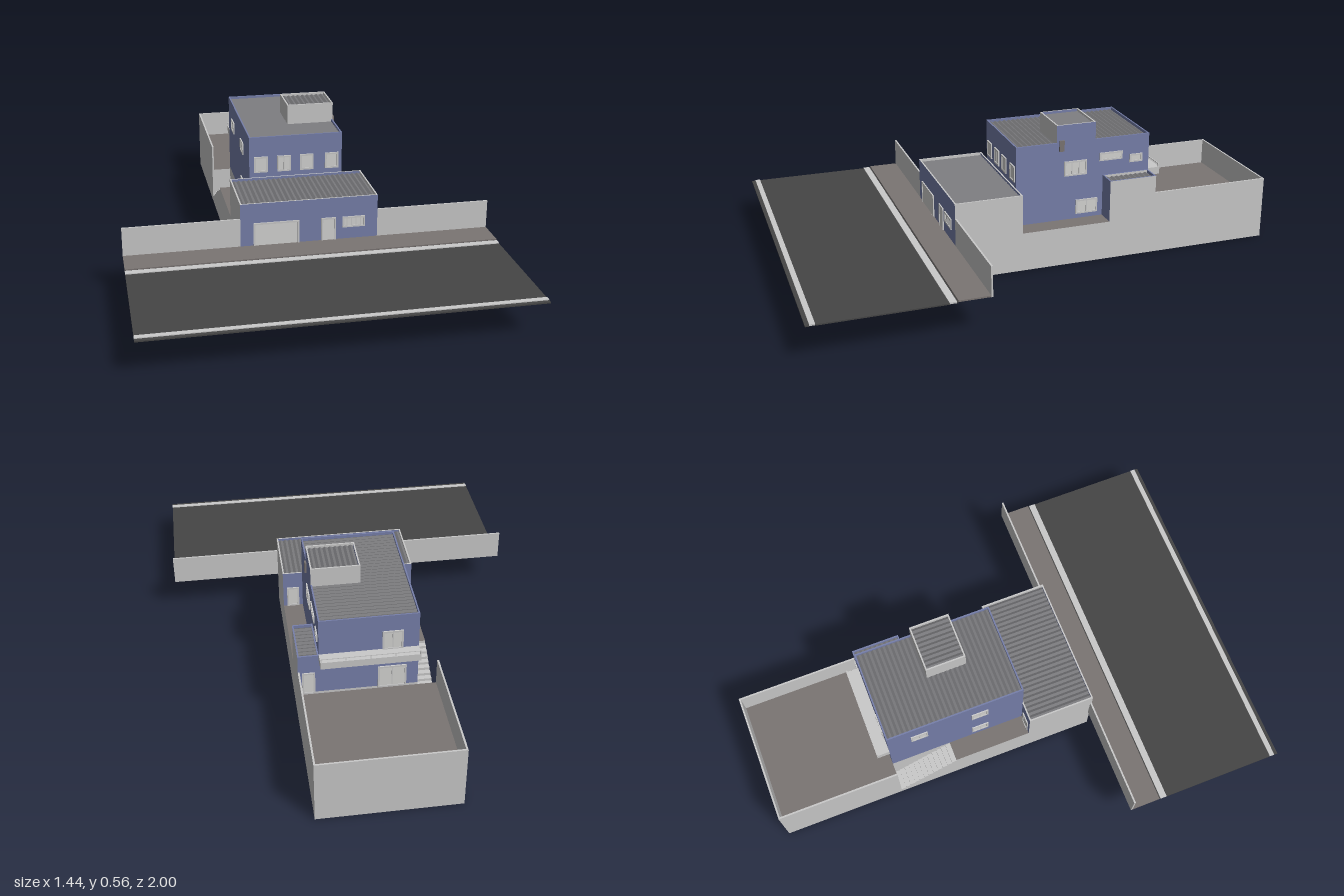
import * as THREE from 'three';

const mat = (name, color, side = THREE.FrontSide) => {
  const m = new THREE.MeshStandardMaterial({ color, side });
  m.name = name;
  return m;
};

export function createModel() {
  const root = new THREE.Group();
  const grey = mat('lightConcrete', 0xcacaca);
  const blue = mat('bluePaint', 0x7780ab);
  const brown = mat('brownPaving', 0x7b7573);
  const asphalt = mat('asphalt', 0x454545);
  const tile = mat('roofSheet', 0x77777a, THREE.DoubleSide);
  const glass = mat('paleGlass', 0xd6d6d4);

  // Box given by its limits; m is one material or [+x, -x, +y, -y, +z, -z]
  const box = (name, x0, x1, y0, y1, z0, z1, m, parent = root) => {
    const mesh = new THREE.Mesh(new THREE.BoxGeometry(x1 - x0, y1 - y0, z1 - z0), m);
    mesh.position.set((x0 + x1) / 2, (y0 + y1) / 2, (z0 + z1) / 2);
    mesh.name = name;
    parent.add(mesh);
    return mesh;
  };

  // Corrugated sheet with ridges running along x or z
  const sheet = (name, x0, x1, z0, z1, y, along) => {
    const w = x1 - x0, d = z1 - z0;
    const n = 2 * Math.round((along === 'x' ? d : w) / 0.02);
    let g = new THREE.PlaneGeometry(w, d, along === 'z' ? n : 1, along === 'x' ? n : 1).rotateX(-Math.PI / 2);
    const p = g.attributes.position;
    for (let i = 0; i < p.count; i++) {
      const t = along === 'x' ? (p.getZ(i) + d / 2) / d : (p.getX(i) + w / 2) / w;
      p.setY(i, Math.round(t * n) % 2 ? 0.005 : 0);
    }
    g = g.toNonIndexed();
    g.computeVertexNormals();
    const mesh = new THREE.Mesh(g, tile);
    mesh.position.set((x0 + x1) / 2, y, (z0 + z1) / 2);
    mesh.name = name;
    root.add(mesh);
  };

  // Building block: solid body, thin parapet round the top, sunken corrugated roof
  const block = (name, x0, x1, y0, y1, z0, z1, m, along) => {
    const g = new THREE.Group();
    g.name = name;
    root.add(g);
    const r = y1 - 0.016, t = 0.006;
    box(name + 'Walls', x0, x1, y0, r, z0, z1, m, g);
    box('parapetFront', x0, x1, r, y1, z1 - t, z1, m, g);
    box('parapetBack', x0, x1, r, y1, z0, z0 + t, m, g);
    box('parapetLeft', x1 - t, x1, r, y1, z0 + t, z1 - t, m, g);
    box('parapetRight', x0, x0 + t, r, y1, z0 + t, z1 - t, m, g);
    sheet(name + 'Roof', x0 + t, x1 - t, z0 + t, z1 - t, r + 0.004, along);
  };

  // Plot: paved ground, with a stairwell left open on one side
  const ground = [grey, grey, brown, grey, grey, grey];
  box('yardGround', -0.27, 0.27, 0, 0.15, -1, -0.5, ground);
  box('houseGround', -0.19, 0.27, 0, 0.16, -0.5, -0.25, ground);
  box('patioGround', -0.27, 0.27, 0, 0.16, -0.25, 0.07, ground);
  box('frontGround', -0.27, 0.27, 0, 0.14, 0.07, 0.345, ground);

  // Side stairs
  const steps = 12;
  for (let i = 0; i < steps; i++) {
    const z = -0.5 + (0.25 * i) / steps;
    box('stairStep', -0.27, -0.19, 0, 0.03 + (0.13 * i) / steps, z, z + 0.25 / steps, grey);
  }

  // Yard walls
  box('yardBackWall', -0.27, 0.27, 0.15, 0.26, -1, -0.993, grey);
  for (const s of [-1, 1]) {
    box('yardSideWall', s * 0.2665 - 0.0035, s * 0.2665 + 0.0035, 0.15, 0.26, -0.993, -0.5, grey);
    // Street walls either side of the house
    const a = s * 0.27, b = s * 0.72;
    box('streetWall', Math.min(a, b), Math.max(a, b), 0.14, 0.26, 0.338, 0.345, grey);
  }

  // Street
  box('sidewalk', -0.72, 0.72, 0.141, 0.147, 0.345, 0.465, brown);
  box('kerb', -0.72, 0.72, 0.138, 0.144, 0.47, 0.497, grey);
  box('gutter', -0.72, 0.72, 0.137, 0.142, 0.465, 0.47, asphalt);
  box('road', -0.72, 0.72, 0.136, 0.141, 0.497, 0.965, asphalt);
  box('farKerb', -0.72, 0.72, 0.138, 0.144, 0.965, 0.985, grey);
  box('farEdge', -0.72, 0.72, 0.136, 0.141, 0.985, 1, asphalt);

  // House volumes
  block('frontBlock', -0.27, 0.27, 0.14, 0.32, 0.07, 0.345, [grey, grey, grey, grey, blue, blue], 'z');
  block('mainHouse', -0.19, 0.19, 0.16, 0.49, -0.5, 0.07, blue, 'x');
  block('sideAnnex', 0.19, 0.27, 0.16, 0.333, -0.5, -0.3, [grey, blue, blue, blue, blue, blue], 'x');
  block('roofTower', -0.002, 0.19, 0.474, 0.562, -0.265, -0.1, [blue, grey, grey, grey, grey, grey], 'z');

  // Opening plate with raised frame and mullions; ry turns it to face its wall
  const opening = (name, x, y, z, w, h, ry, bars = 0, frame = 0.007) => {
    const g = new THREE.Group();
    g.name = name;
    g.position.set(x, y, z);
    g.rotation.y = ry;
    root.add(g);
    box('pane', -w / 2, w / 2, -h / 2, h / 2, -0.001, 0.002, glass, g);
    for (const s of [-1, 1]) {
      const cx = s * (w - frame) / 2, cy = s * (h - frame) / 2;
      box('frameSide', cx - frame / 2, cx + frame / 2, -h / 2, h / 2, 0, 0.005, grey, g);
      box('frameRail', -w / 2 + frame, w / 2 - frame, cy - frame / 2, cy + frame / 2, 0, 0.005, grey, g);
    }
    for (let i = 1; i <= bars; i++) {
      const bx = -w / 2 + (w * i) / (bars + 1);
      box('mullion', bx - 0.002, bx + 0.002, -h / 2 + frame, h / 2 - frame, 0, 0.004, grey, g);
    }
  };
  const R = Math.PI / 2;

  // Street front
  opening('garageDoor', -0.13, 0.19, 0.345, 0.18, 0.1, 0);
  opening('frontDoor', 0.075, 0.19, 0.345, 0.058, 0.1, 0);
  opening('barredWindow', 0.175, 0.217, 0.345, 0.09, 0.044, 0, 4);
  [-0.143, -0.048, 0.045, 0.148].forEach((x, i) =>
    opening('upperWindow', x, 0.374, 0.07, 0.056, 0.066, 0, i === 1 ? 1 : 0));

  // Left side (+x)
  opening('sideWindow', 0.19, 0.378, -0.18, 0.096, 0.062, R, 2);
  opening('wideWindow', 0.19, 0.412, -0.333, 0.1, 0.034, R);
  opening('smallWindow', 0.19, 0.392, -0.443, 0.056, 0.034, R);
  opening('lowWindow', 0.19, 0.21, -0.23, 0.094, 0.06, R, 1);
  box('wallLamp', 0.19, 0.198, 0.455, 0.5, -0.13, -0.11, brown);

  // Right side (-x)
  opening('sideWindow', -0.19, 0.395, -0.37, 0.07, 0.05, -R, 1);
  opening('sideWindow', -0.19, 0.39, -0.115, 0.07, 0.05, -R, 1);
  opening('lowWindow', -0.19, 0.225, -0.115, 0.07, 0.05, -R, 1);

  // Back
  opening('balconyDoor', -0.09, 0.378, -0.5, 0.08, 0.085, 2 * R, 1);
  opening('backDoor', -0.09, 0.205, -0.5, 0.11, 0.1, 2 * R, 1);
  opening('annexDoor', 0.23, 0.205, -0.5, 0.05, 0.1, 2 * R);
  opening('passageDoor', -0.23, 0.205, 0.07, 0.05, 0.09, 2 * R);
  opening('passageDoor', 0.23, 0.205, 0.07, 0.05, 0.09, 2 * R);

  // Balcony slab and rail
  box('balconySlab', -0.19, 0.19, 0.308, 0.338, -0.552, -0.5, grey);
  for (let i = 0; i <= 4; i++) {
    const x = -0.187 + i * 0.0935;
    box('balconyPost', x - 0.002, x + 0.002, 0.338, 0.353, -0.55, -0.546, grey);
  }
  box('balconyRail', -0.19, 0.19, 0.35, 0.353, -0.55, -0.546, grey);

  return root;
}
